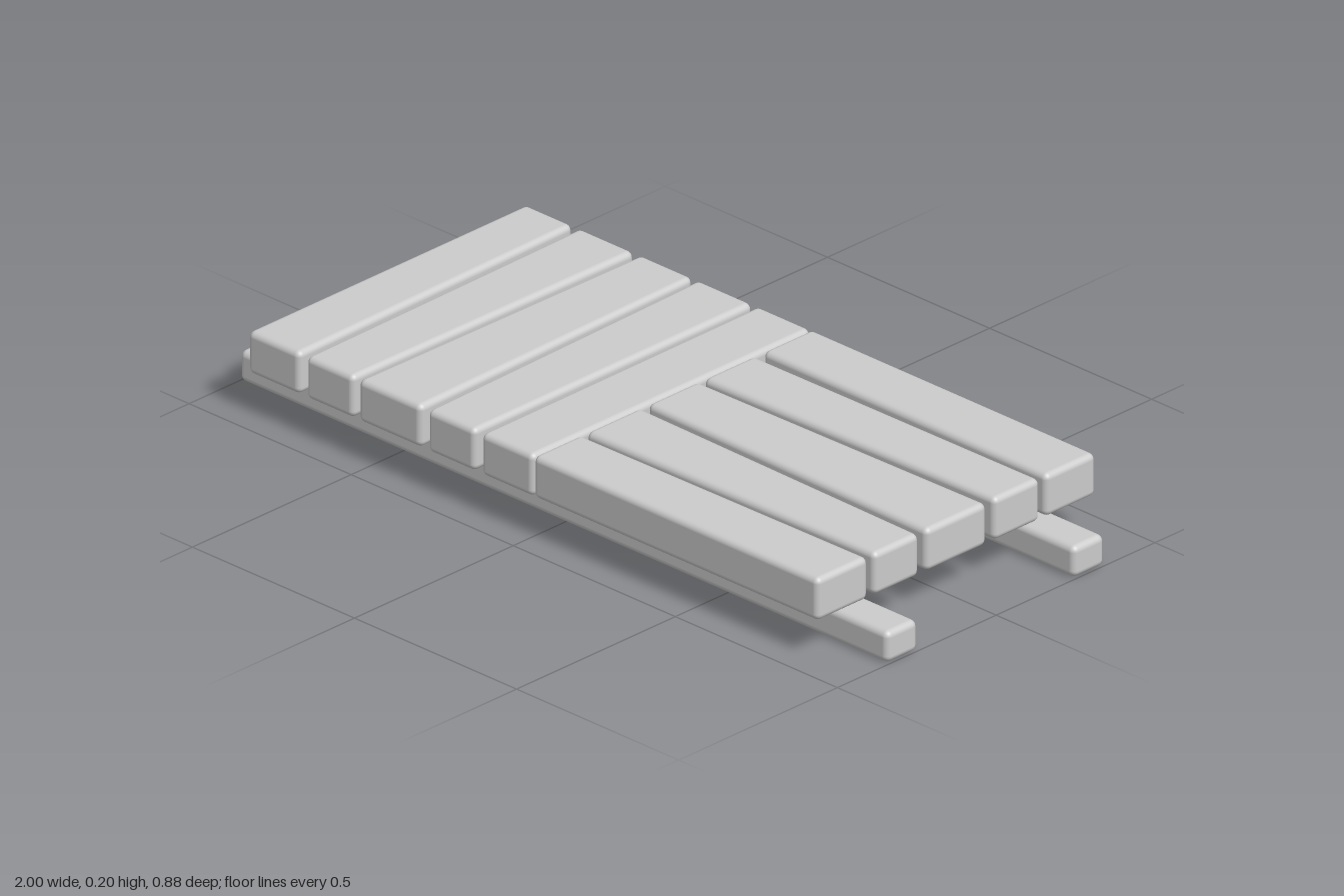
import * as THREE from 'three';
import { RoundedBoxGeometry } from 'three/addons/geometries/RoundedBoxGeometry.js';

const material = new THREE.MeshStandardMaterial({ color: 0xcccccc });
const LENGTH = 0.878, BOTTOM = 0.095, TOP = 0.2;

// Rounded board along z whose side edges run from [a0, a1] at -z to [b0, b1] at +z
function taperedBoard([a0, a1, b0, b1]) {
  const width = (a1 - a0 + b1 - b0) / 2;
  const geo = new RoundedBoxGeometry(width, TOP - BOTTOM, LENGTH, 3, 0.015);
  const pos = geo.attributes.position;
  for (let i = 0; i < pos.count; i++) {
    const t = pos.getZ(i) / LENGTH + 0.5;
    const u = pos.getX(i) / width + 0.5;
    const lo = THREE.MathUtils.lerp(a0, b0, t);
    const hi = THREE.MathUtils.lerp(a1, b1, t);
    pos.setX(i, THREE.MathUtils.lerp(lo, hi, u));
  }
  return geo;
}

function add(group, name, geo, x, y, z) {
  const mesh = new THREE.Mesh(geo, material);
  mesh.name = name;
  mesh.position.set(x, y, z);
  group.add(mesh);
}

export function createModel() {
  const model = new THREE.Group();
  model.name = 'plankWalkway';
  const midY = (BOTTOM + TOP) / 2;

  // Two long rails under the deck
  for (const side of [-1, 1]) {
    add(model, side > 0 ? 'frontRail' : 'backRail',
      new RoundedBoxGeometry(2, 0.077, 0.098, 3, 0.016), 0, 0.0385, side * 0.294);
  }

  // Crosswise planks: x edges at the back, then at the front
  const crossPlanks = new THREE.Group();
  crossPlanks.name = 'crossPlanks';
  [
    [-0.88, -0.735, -0.88, -0.72],
    [-0.715, -0.545, -0.70, -0.555],
    [-0.525, -0.365, -0.54, -0.345],
    [-0.35, -0.18, -0.325, -0.18],
    [-0.165, 0, -0.16, 0],
  ].forEach((edges, i) => add(crossPlanks, `crossPlank${i + 1}`, taperedBoard(edges), 0, midY, 0));

  // Lengthwise planks: z edges at the middle, then at the outer end
  const longPlanks = new THREE.Group();
  longPlanks.name = 'longPlanks';
  [
    [-0.44, -0.285, -0.44, -0.282],
    [-0.258, -0.098, -0.264, -0.12],
    [-0.08, 0.078, -0.097, 0.095],
    [0.1, 0.272, 0.117, 0.258],
    [0.288, 0.438, 0.277, 0.438],
  ].forEach(([p0, p1, q0, q1], i) => {
    const geo = taperedBoard([-p1, -p0, -q1, -q0]).rotateY(Math.PI / 2);
    add(longPlanks, `longPlank${i + 1}`, geo, LENGTH / 2, midY, 0);
  });

  model.add(crossPlanks, longPlanks);
  return model;
}
